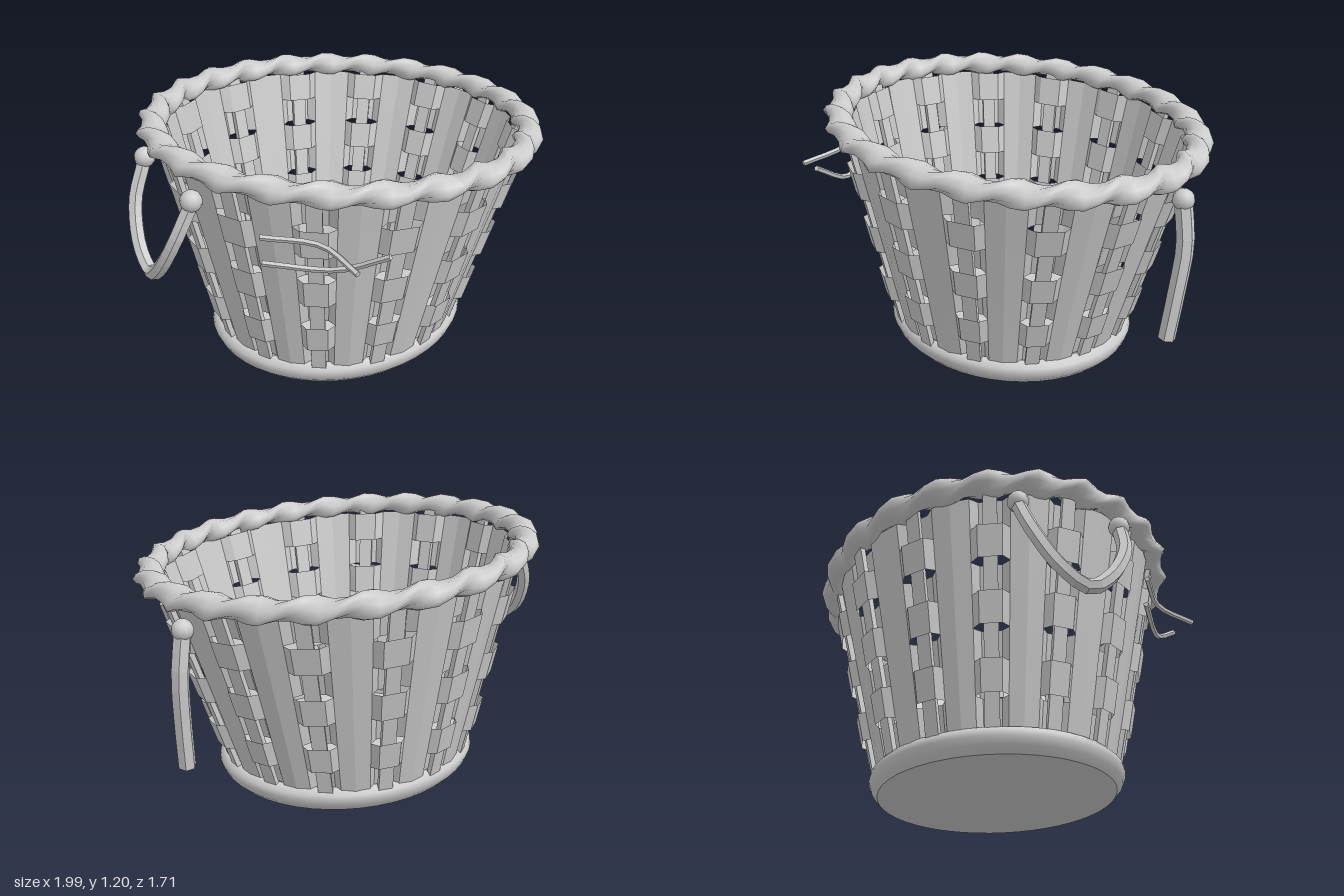
import * as THREE from 'three';

const STAKES = 14, ROWS = 7;
const lerp = THREE.MathUtils.lerp;

// Point on the tilted, flaring oval wall: angle a (0 = front), height t (0..1), outward offset
function wall(a, t, off = 0) {
  const x = 0.04 * t + (lerp(0.61, 0.86, t) + off) * Math.sin(a);
  const z = (lerp(0.555, 0.765, t) + off) * Math.cos(a);
  return new THREE.Vector3(x, 0.1 + t * (0.94 - 0.07 * x), z);
}

// One flat weaver band that bends round every stake
function bandGeometry(t0, t1, bump) {
  const stops = [];
  for (let k = 0; k < STAKES; k++) {
    const a = Math.PI / 2 + k * Math.PI * 2 / STAKES;
    stops.push([a - 0.115, 0], [a - 0.07, bump], [a + 0.07, bump], [a + 0.115, 0], [a + Math.PI / STAKES, 0.006]);
  }
  const pos = [];
  const put = (s, t) => pos.push(...wall(s[0], t, s[1]).toArray());
  stops.forEach((s, i) => {
    const n = stops[(i + 1) % stops.length];
    put(s, t0); put(n, t0); put(n, t1);
    put(s, t0); put(n, t1); put(s, t1);
  });
  const g = new THREE.BufferGeometry();
  g.setAttribute('position', new THREE.Float32BufferAttribute(pos, 3));
  g.computeVertexNormals();
  return g;
}

// Upright slat following the wall
function stakeGeometry(a) {
  const g = new THREE.BoxGeometry(0.064, 1, 0.024, 1, 6, 1);
  const p = g.attributes.position;
  for (let i = 0; i < p.count; i++) {
    const t = lerp(-0.02, 1.04, p.getY(i) + 0.5);
    const v = wall(a + p.getX(i) / lerp(0.585, 0.81, t), t, p.getZ(i));
    p.setXYZ(i, v.x, v.y, v.z);
  }
  g.computeVertexNormals();
  return g;
}

// Oval section that twists as it runs round the rim
function rimGeometry() {
  const seg = 96, sides = 10, pos = [], idx = [];
  for (let i = 0; i <= seg; i++) {
    const a = i / seg * Math.PI * 2, twist = a * 12;
    const s = Math.sin(a), c = Math.cos(a);
    for (let j = 0; j < sides; j++) {
      const b = j / sides * Math.PI * 2;
      const u = 0.071 * Math.cos(b), v = 0.042 * Math.sin(b);
      const out = u * Math.cos(twist) - v * Math.sin(twist);
      const up = u * Math.sin(twist) + v * Math.cos(twist);
      const x = 0.04 + (0.885 + out) * s;
      pos.push(x, 1.08 - 0.07 * x + up * 0.85, (0.785 + out) * c);
      if (i < seg) {
        const p = i * sides + j, q = i * sides + (j + 1) % sides;
        idx.push(p, p + sides, q, q, p + sides, q + sides);
      }
    }
  }
  const g = new THREE.BufferGeometry();
  g.setAttribute('position', new THREE.Float32BufferAttribute(pos, 3));
  g.setIndex(idx);
  g.computeVertexNormals();
  return g;
}

// Capped strip with a many-sided section along a path
function strip(points, r, sides, steps) {
  const section = [];
  for (let i = 0; i < sides; i++) {
    const b = (i + 0.5) / sides * Math.PI * 2;
    section.push(new THREE.Vector2(r * Math.cos(b), r * Math.sin(b)));
  }
  const path = new THREE.CatmullRomCurve3(points.map(p => new THREE.Vector3(...p)), false, 'centripetal');
  return new THREE.ExtrudeGeometry(new THREE.Shape(section), { steps, extrudePath: path, bevelEnabled: false });
}

export function createModel() {
  const model = new THREE.Group();
  model.name = 'basket';
  const wicker = new THREE.MeshStandardMaterial({ color: 0xcccccc, side: THREE.DoubleSide });
  wicker.name = 'paleGrey';
  const add = (name, geometry, parent = model) => {
    const m = new THREE.Mesh(geometry, wicker);
    m.name = name;
    parent.add(m);
    return m;
  };
  const group = name => {
    const g = new THREE.Group();
    g.name = name;
    model.add(g);
    return g;
  };

  // Oval base: underside, rounded edge, floor
  const base = group('base');
  base.scale.z = 0.885;
  const lathe = (name, pts) =>
    add(name, new THREE.LatheGeometry(pts.map(p => new THREE.Vector2(...p)), 48), base);
  lathe('underside', [[0, 0], [0.605, 0]]);
  lathe('baseEdge', [[0.605, 0], [0.635, 0.03], [0.65, 0.065], [0.645, 0.09], [0.625, 0.11], [0.6, 0.112]]);
  lathe('floorLip', [[0.6, 0.112], [0.6, 0.09]]);
  lathe('floor', [[0.6, 0.09], [0, 0.09]]);

  // Woven wall
  const stakes = group('stakes');
  for (let k = 0; k < STAKES; k++) add('stake', stakeGeometry(Math.PI / 2 + k * Math.PI * 2 / STAKES), stakes);
  const bands = group('weaverBands');
  for (let r = 0; r < ROWS; r++) add('weaverBand', bandGeometry(r / ROWS, (r + 1) / ROWS, r % 2 ? 0.032 : -0.032), bands);

  add('twistedRim', rimGeometry());

  // Hanging loop handle on one side, broken handle on the other
  const knob = (x, y, z, parent) =>
    add('knob', new THREE.SphereGeometry(0.047, 12, 8), parent).position.set(x, y, z);
  const loop = group('loopHandle');
  for (const z of [-0.25, 0.23]) knob(-0.845, 1.01, z, loop);
  add('handleLoop', strip([[-0.85, 0.99, -0.25], [-0.92, 0.83, -0.22], [-0.96, 0.66, -0.12], [-0.965, 0.59, 0],
    [-0.96, 0.66, 0.1], [-0.92, 0.83, 0.2], [-0.85, 0.99, 0.23]], 0.033, 6, 20), loop);
  const broken = group('brokenHandle');
  knob(0.925, 0.91, -0.24, broken);
  add('handleStrap', strip([[0.925, 0.9, -0.24], [0.95, 0.72, -0.245], [0.945, 0.52, -0.225], [0.93, 0.28, -0.2]],
    0.039, 6, 8), broken);

  // Loose twigs poking out at the front
  const twigs = group('looseTwigs');
  add('upperTwig', strip([[-0.67, 0.905, 0.47], [-0.49, 0.895, 0.645], [-0.46, 0.865, 0.85]], 0.013, 5, 8), twigs);
  add('lowerTwig', strip([[-0.66, 0.775, 0.46], [-0.43, 0.77, 0.66], [-0.305, 0.885, 0.845]], 0.013, 5, 8), twigs);

  return model;
}
